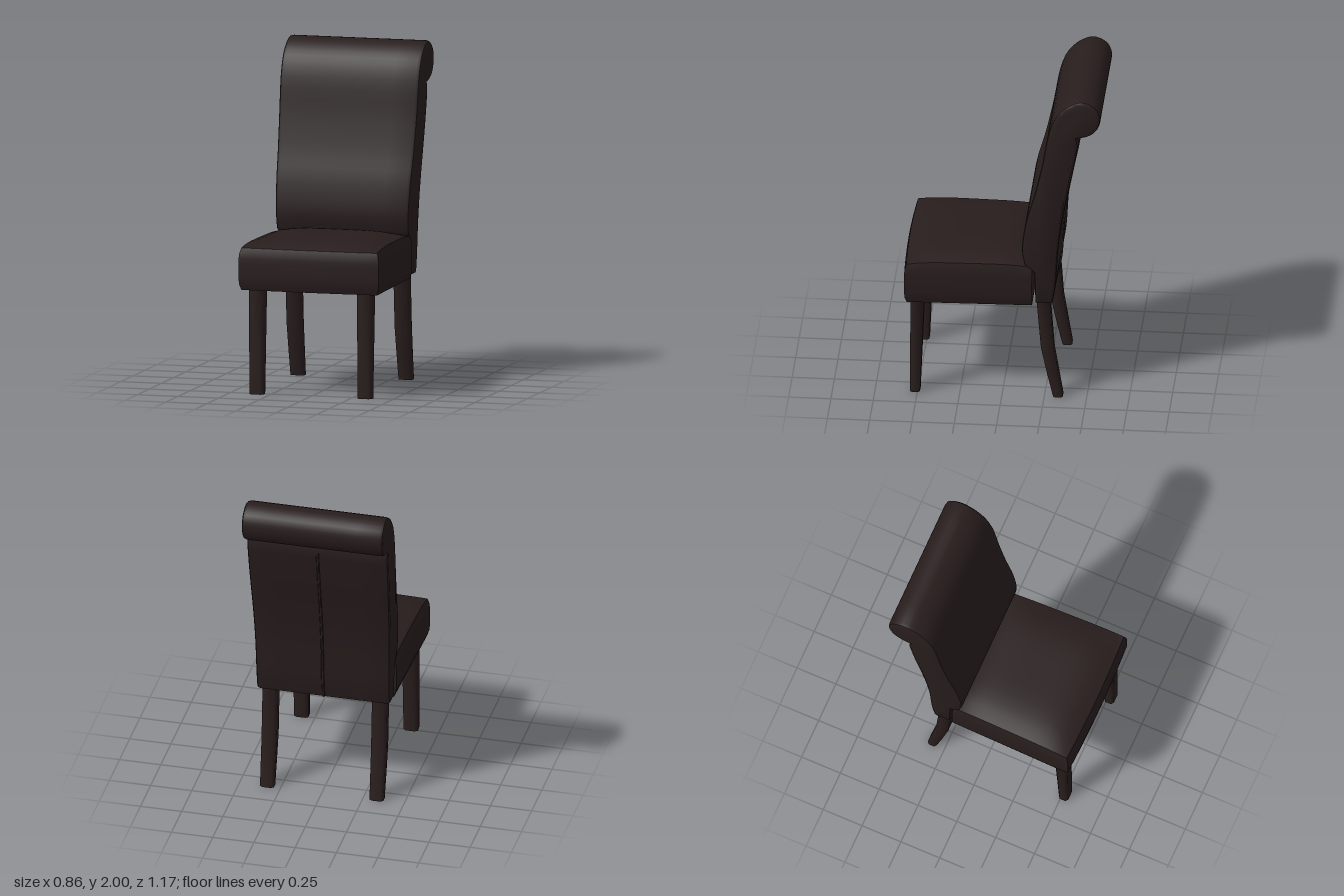
import * as THREE from 'three';
import { toCreasedNormals } from 'three/addons/utils/BufferGeometryUtils.js';

const leather = new THREE.MeshStandardMaterial({ name: 'dark brown leather', color: 0x281d1d });
const wood = new THREE.MeshStandardMaterial({ name: 'dark wood', color: 0x291d1d });
const lining = new THREE.MeshStandardMaterial({ name: 'olive lining', color: 0x45371f });

function part(name, geometry, material, crease = 0.7) {
  const mesh = new THREE.Mesh(toCreasedNormals(geometry, crease), material);
  mesh.name = name;
  return mesh;
}

// Move every vertex by a rule that edits the vector in place
function reshape(geometry, rule) {
  const pos = geometry.attributes.position;
  const v = new THREE.Vector3();
  for (let i = 0; i < pos.count; i++) {
    rule(v.fromBufferAttribute(pos, i));
    pos.setXYZ(i, v.x, v.y, v.z);
  }
  return geometry;
}

// Cushion: tapered to the rear, crowned on top, with slightly padded walls
function seatCushion() {
  const box = new THREE.BoxGeometry(2, 1, 2, 12, 8, 14);
  return reshape(box, (v) => {
    const { x: u, z: w } = v;
    const t = v.y + 0.5;
    const bulge = 0.014 * (1 - (2 * t - 1) ** 4);
    v.x = u * (0.399 + 0.018 * (w + 1) * 0.5 + bulge);
    v.z = 0.19 + w * 0.37;
    if (w > 0) v.z += w * (bulge + 0.012 * (1 - u * u));
    const crown = 0.058 * (1 - w ** 4) * (1 - 0.7 * u ** 4);
    v.y = 0.622 + t * 0.25 + Math.max(0, t - 0.6) / 0.4 * crown;
  });
}

// Backrest side outline, as [z, y]: front face up, over the scroll, down the rear
const frontAndScroll = [
  [-0.135, 0.89], [-0.12, 1.0], [-0.145, 1.18], [-0.195, 1.36], [-0.24, 1.56],
  [-0.285, 1.8], [-0.35, 1.93], [-0.46, 1.998], [-0.55, 1.97], [-0.586, 1.9],
  [-0.57, 1.82], [-0.52, 1.772], [-0.445, 1.75],
];
const rear = [
  [-0.455, 1.7], [-0.42, 1.5], [-0.365, 1.22], [-0.335, 1.0], [-0.32, 0.76], [-0.3, 0.638],
];
const smooth = (points, n) =>
  new THREE.SplineCurve(points.map(([z, y]) => new THREE.Vector2(-z, y))).getPoints(n);

// Upholstered back, extruded across the chair and narrowed toward the bottom
function backrest() {
  const outline = [
    ...smooth(frontAndScroll, 44), ...smooth(rear, 18),
    new THREE.Vector2(0.2, 0.638), new THREE.Vector2(0.192, 0.84),
  ];
  const geometry = new THREE.ExtrudeGeometry(new THREE.Shape(outline), {
    depth: 0.81, steps: 6, bevelEnabled: true,
    bevelThickness: 0.024, bevelSize: 0.016, bevelOffset: -0.016, bevelSegments: 2,
  });
  geometry.translate(0, 0, -0.405).rotateY(Math.PI / 2);
  return reshape(geometry, (v) => {
    v.x *= 0.945 + 0.055 * THREE.MathUtils.smoothstep(v.y, 0.64, 1.8);
  });
}

// Leg lofted down through chamfered square sections: [y, z, half width, half depth]
function leg(sections) {
  const c = 0.62;
  const ring = [[1, c], [c, 1], [-c, 1], [-1, c], [-1, -c], [-c, -1], [c, -1], [1, -c]];
  const n = ring.length;
  const points = [];
  const index = [];
  sections.forEach(([y, z, hx, hz], s) => {
    ring.forEach(([rx, rz]) => points.push(rx * hx, y, z + rz * hz));
    if (s === 0) return;
    for (let i = 0; i < n; i++) {
      const a = (s - 1) * n + i;
      const b = (s - 1) * n + (i + 1) % n;
      index.push(a, b, a + n, b, b + n, a + n);
    }
  });
  // Top and foot caps
  const last = (sections.length - 1) * n;
  for (let i = 1; i < n - 1; i++) {
    index.push(0, i + 1, i, last, last + i, last + i + 1);
  }
  const geometry = new THREE.BufferGeometry();
  geometry.setAttribute('position', new THREE.Float32BufferAttribute(points, 3));
  geometry.setIndex(index);
  return geometry;
}

export function createModel() {
  const chair = new THREE.Group();
  chair.name = 'diningChair';

  chair.add(part('seat', seatCushion(), leather));
  chair.add(part('backrest', backrest(), leather));

  // Raised seam down the middle of the rear panel
  const seamPath = new THREE.CatmullRomCurve3(
    rear.map(([z, y]) => new THREE.Vector3(0, y, z)));
  chair.add(part('backSeam', new THREE.TubeGeometry(seamPath, 24, 0.009, 6), leather, 1.2));

  // Cloth lining under the seat
  const cloth = new THREE.BoxGeometry(0.75, 0.008, 0.67);
  cloth.translate(0, 0.621, 0.185);
  chair.add(part('underseatLining', cloth, lining));

  // Straight front legs and swept rear legs
  const frontLeg = leg([[0.625, 0.5, 0.048, 0.041], [0, 0.515, 0.043, 0.03]]);
  const rearLeg = leg([
    [0.645, -0.243, 0.046, 0.04], [0.32, -0.268, 0.046, 0.038],
    [0.15, -0.3, 0.044, 0.034], [0, -0.33, 0.042, 0.029],
  ]);
  for (const [side, x] of [['left', 0.332], ['right', -0.332]]) {
    for (const [name, geometry] of [['FrontLeg', frontLeg], ['RearLeg', rearLeg]]) {
      const mesh = part(side + name, geometry, wood, 1);
      mesh.position.x = x;
      chair.add(mesh);
    }
  }
  return chair;
}
